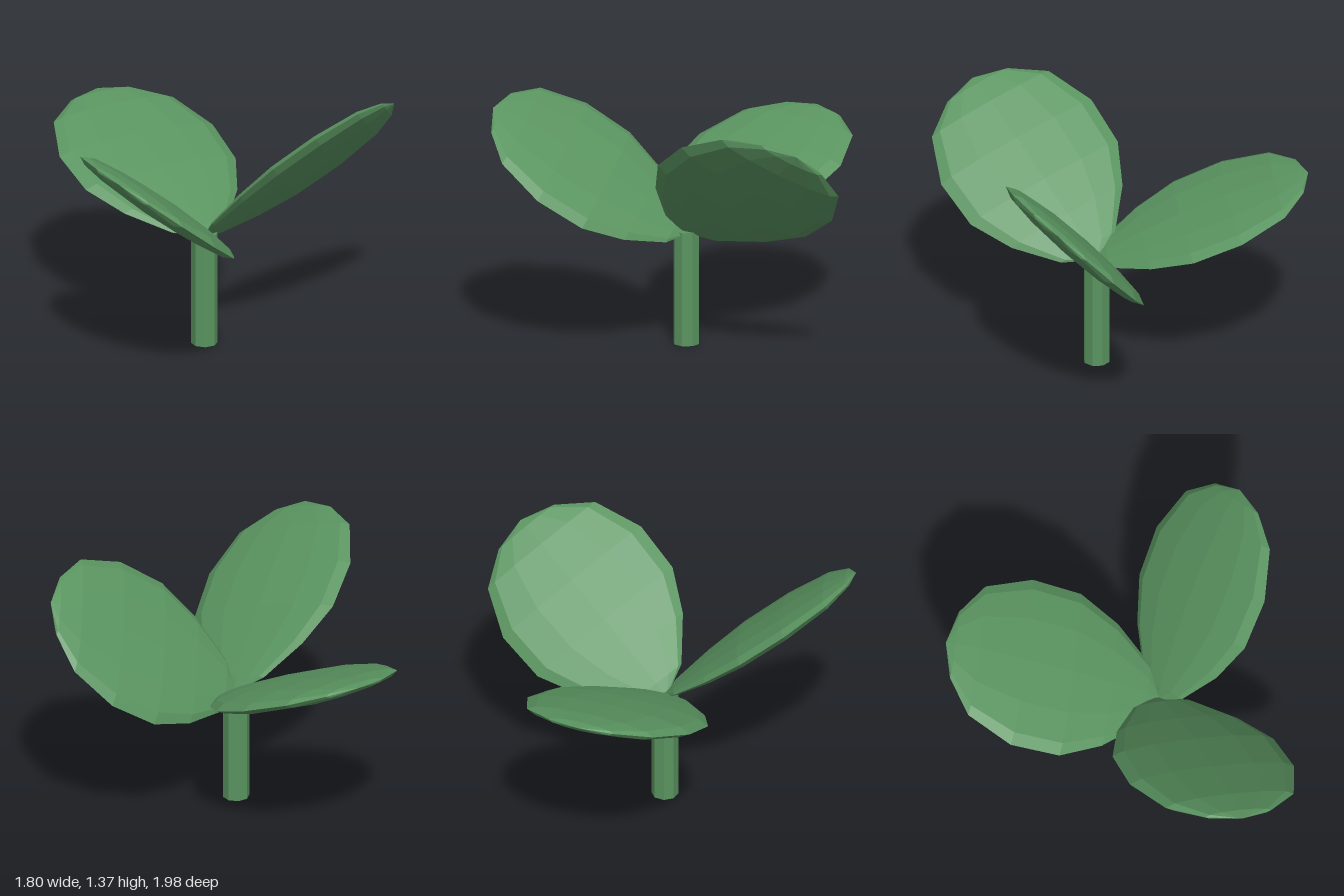
import * as THREE from 'three';

const BASE = new THREE.Vector3(0.185, 0.62, 0);
const LEAF_LENGTH = 1.23;
const LEAF_FLATNESS = 0.125; // thickness relative to width

// Half-width of a leaf against distance from its base
const LEAF_PROFILE = [
  [0, -0.015], [0.17, 0.07], [0.35, 0.28], [0.465, 0.51],
  [0.475, 0.79], [0.37, 1.05], [0.19, 1.18], [0, LEAF_LENGTH],
].map(([r, t]) => new THREE.Vector2(r, t));

// Each leaf: name, direction from base to tip, and upper-face normal
const LEAVES = [
  ['rightLeaf', [-1.06, 0.44, -0.38], [0.37, 1, 0.12]],
  ['frontLeaf', [0.235, 0.66, 0.995], [0.31, 1, -0.75]],
  ['backLeaf', [0.63, 0.67, -0.83], [-1.067, 1, 0]],
];

function createLeaf(name, direction, normal, material) {
  // Flattened egg, grown along +y from its base
  const geometry = new THREE.LatheGeometry(LEAF_PROFILE, 12);
  geometry.scale(1, 1, LEAF_FLATNESS);

  const along = new THREE.Vector3(...direction).normalize();
  const up = new THREE.Vector3(...normal);
  up.addScaledVector(along, -up.dot(along)).normalize();
  const side = new THREE.Vector3().crossVectors(along, up);

  const leaf = new THREE.Mesh(geometry, material);
  leaf.name = name;
  leaf.quaternion.setFromRotationMatrix(new THREE.Matrix4().makeBasis(side, along, up));
  leaf.position.copy(BASE);
  return leaf;
}

export function createModel() {
  const plant = new THREE.Group();
  plant.name = 'sprout';
  const green = new THREE.MeshStandardMaterial({ color: 0x5a9460, flatShading: true });

  // Octagonal stem
  const stem = new THREE.Mesh(new THREE.CylinderGeometry(0.072, 0.072, 0.63, 8), green);
  stem.name = 'stem';
  stem.position.set(0.176, 0.315, 0);
  plant.add(stem);

  for (const [name, direction, normal] of LEAVES) {
    plant.add(createLeaf(name, direction, normal, green));
  }
  return plant;
}
